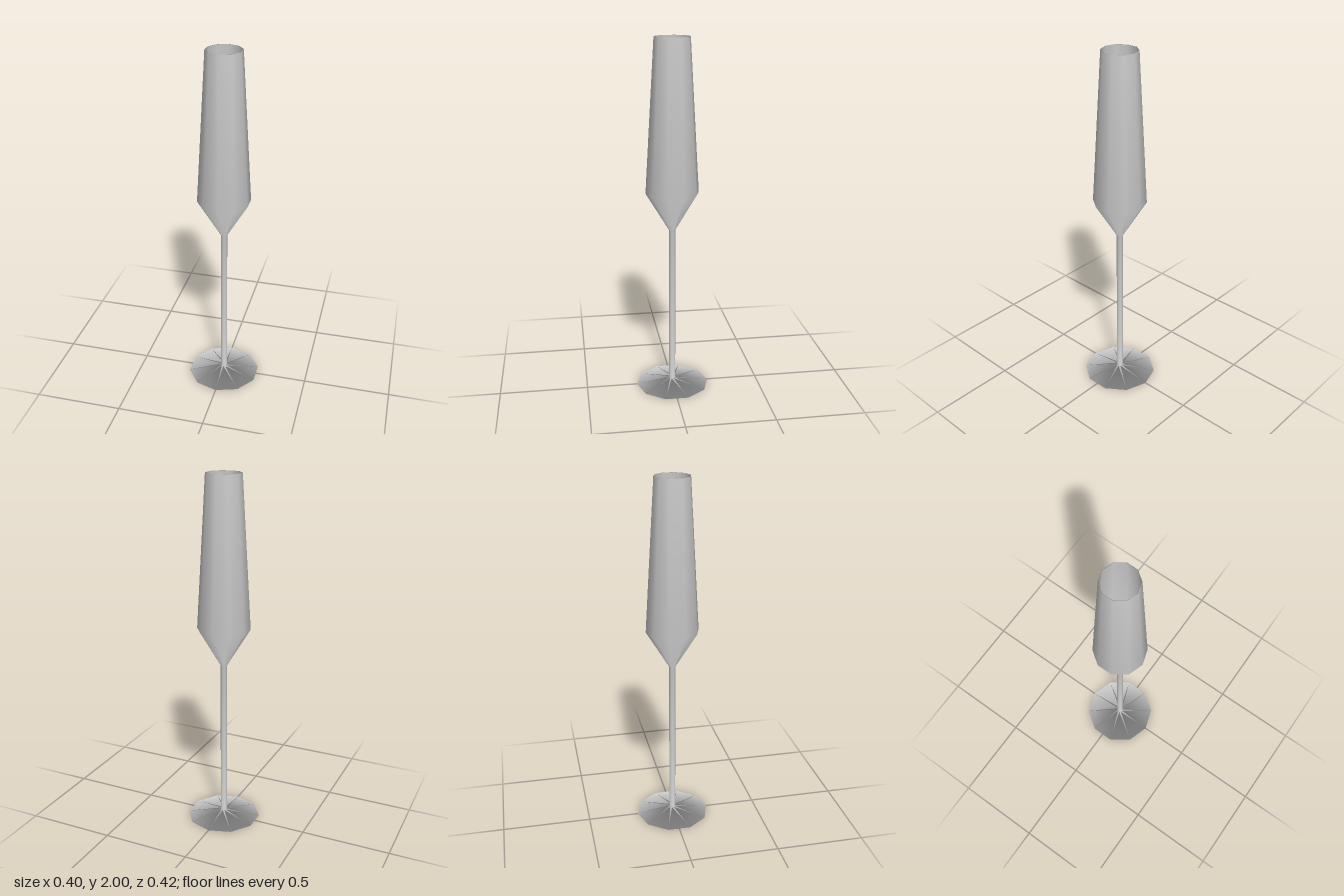
import * as THREE from 'three';

// Profile as [radius, height], from under the foot, up the outside, over the lip and down the inside
const PROFILE = [
  [0, 0],         // centre of the flat underside
  [0.21, 0],      // foot edge
  [0.018, 0.03],  // top of the foot, start of the stem
  [0.018, 0.945], // top of the stem
  [0.148, 1.16],  // bowl shoulder
  [0.098, 2],     // outer lip
  [0.095, 2],     // inner lip
  [0.144, 1.162], // inner shoulder
  [0, 0.95],      // bottom of the bowl
];
const SIDES = 10;

export function createModel() {
  const group = new THREE.Group();
  group.name = 'fluteGlass';

  // Foot, stem and bowl are one continuous turned surface with smooth normals
  const points = PROFILE.map(([r, y]) => new THREE.Vector2(r, y));
  const glass = new THREE.Mesh(
    new THREE.LatheGeometry(points, SIDES),
    new THREE.MeshStandardMaterial({ color: 0xcccccc, side: THREE.DoubleSide })
  );
  glass.name = 'footStemAndBowl';
  group.add(glass);

  return group;
}
